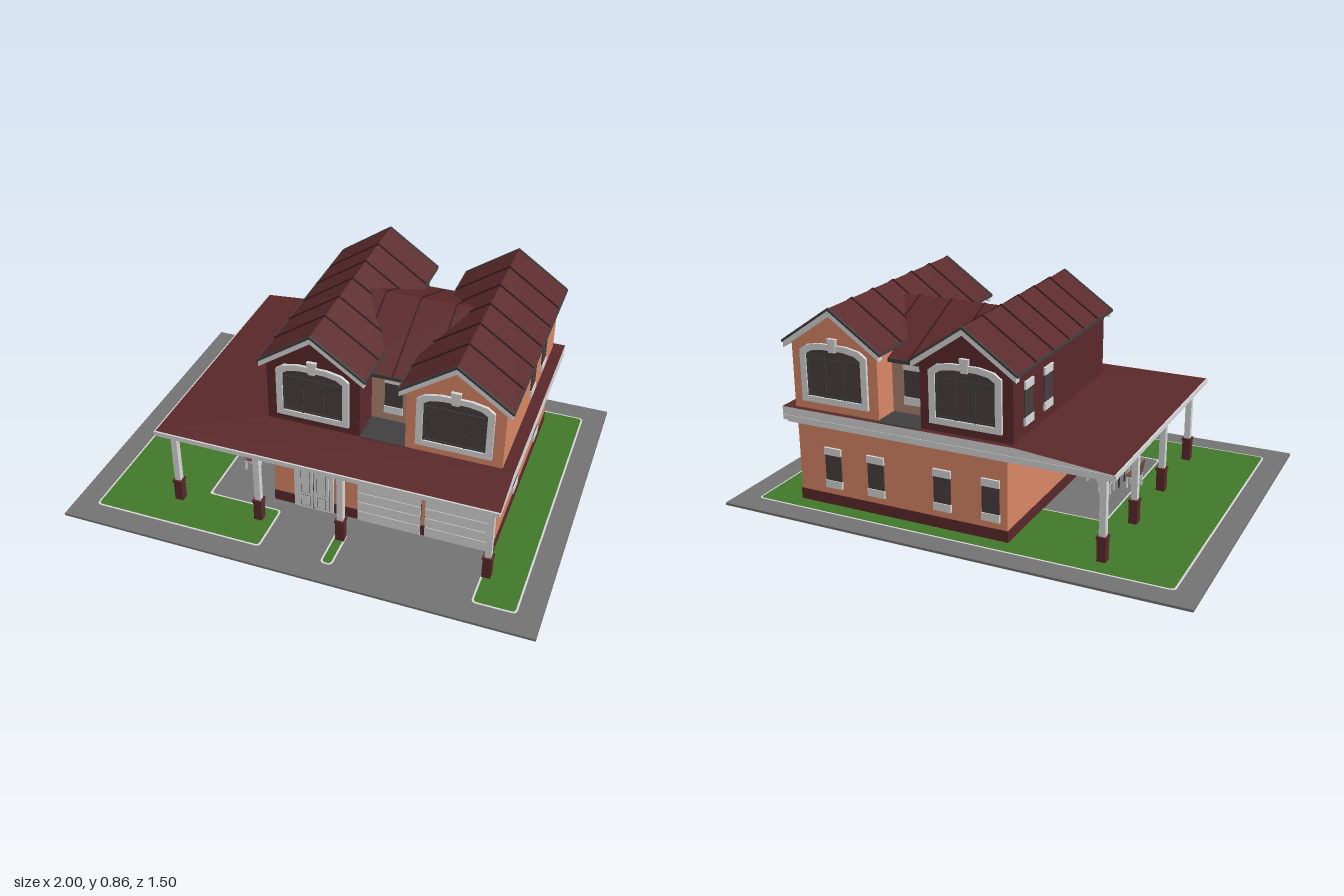
import * as THREE from 'three';

const paint = (name, color, side = THREE.FrontSide) => {
  const m = new THREE.MeshStandardMaterial({ color, side });
  m.name = name;
  return m;
};
const M = {
  wall: paint('terracotta wall', 0xd78665),
  tan: paint('tan wall', 0xab8270),
  maroon: paint('maroon', 0x5a282a, THREE.DoubleSide),
  seam: paint('roof seam', 0x361a1b),
  trim: paint('light trim', 0xd6d6d6, THREE.DoubleSide),
  dark: paint('dark edging', 0x403e3e),
  glass: paint('window glass', 0x473e3e),
  paving: paint('paving', 0x737373),
  grass: paint('grass', 0x417829),
  wood: paint('brown wood', 0x6e4c3e),
};

function add(parent, name, geo, mat, x = 0, y = 0, z = 0) {
  const mesh = new THREE.Mesh(geo, mat);
  mesh.name = name;
  mesh.position.set(x, y, z);
  parent.add(mesh);
  return mesh;
}
// Box given by its minimum and maximum on each axis
function block(parent, name, mat, x0, x1, y0, y1, z0, z1) {
  return add(parent, name, new THREE.BoxGeometry(x1 - x0, y1 - y0, z1 - z0), mat,
    (x0 + x1) / 2, (y0 + y1) / 2, (z0 + z1) / 2);
}
function group(parent, name, x = 0, y = 0, z = 0, turn = 0) {
  const g = new THREE.Group();
  g.name = name;
  g.position.set(x, y, z);
  g.rotation.y = turn;
  parent.add(g);
  return g;
}
const shapeOf = pts => new THREE.Shape(pts.map(p => new THREE.Vector2(...p)));
// Extrude an x-y outline from z0 to z1
const extrude = (shape, z0, z1) =>
  new THREE.ExtrudeGeometry(shape, { depth: z1 - z0, bevelEnabled: false, curveSegments: 6 }).translate(0, 0, z0);
// Inverted V band whose top ridge is at y
const chevron = (half, y, thick, slope) => shapeOf([
  [-half, y - half * slope], [-half, y - half * slope - thick], [0, y - thick],
  [half, y - half * slope - thick], [half, y - half * slope], [0, y]]);
// Flat quads from corner lists
function quads(list) {
  const g = new THREE.BufferGeometry();
  const pos = list.flatMap(([a, b, c, d]) => [a, b, c, a, c, d].flat());
  g.setAttribute('position', new THREE.Float32BufferAttribute(pos, 3));
  g.computeVertexNormals();
  return g;
}
// Square-cornered outline moved inwards by t, with corners rounded to radius r
function roundedOutline(pts, t, r) {
  const s = new THREE.Shape();
  const v = pts.map(p => new THREE.Vector2(...p));
  v.forEach((p, i) => {
    const d1 = p.clone().sub(v.at(i - 1)).normalize();
    const d2 = v[(i + 1) % v.length].clone().sub(p).normalize();
    const c = p.clone().add(new THREE.Vector2(-d1.y - d2.y, d1.x + d2.x).multiplyScalar(t));
    const a = c.clone().addScaledVector(d1, -r), b = c.clone().addScaledVector(d2, r);
    if (i) s.lineTo(a.x, a.y);
    else s.moveTo(a.x, a.y);
    s.quadraticCurveTo(c.x, c.y, b.x, b.y);
  });
  s.closePath();
  return s;
}

function smallWindow(parent, x, y, z, turn) {
  const w = group(parent, 'smallWindow', x, y, z, turn);
  block(w, 'glass', M.glass, -0.037, 0.037, -0.056, 0.058, -0.003, 0.004);
  block(w, 'lintel', M.trim, -0.039, 0.039, 0.057, 0.088, -0.004, 0.008);
  block(w, 'sill', M.trim, -0.039, 0.039, -0.088, -0.055, -0.004, 0.008);
}

// Low-arched three-light window with keystone; origin at its bottom centre
function archWindow(parent, z, turn) {
  const w = group(parent, 'archWindow', 0, 0.457, z, turn);
  const outline = (half, bottom, side, crown) => [[-half, bottom], [half, bottom], [half, side],
    [half * 0.8, side + (crown - side) * 0.65], [half * 0.4, crown], [-half * 0.4, crown],
    [-half * 0.8, side + (crown - side) * 0.65], [-half, side]];
  const frame = shapeOf(outline(0.153, 0, 0.215, 0.25));
  frame.holes.push(shapeOf(outline(0.126, 0.025, 0.2, 0.226)));
  add(w, 'frame', extrude(frame, -0.005, 0.011), M.trim);
  add(w, 'pane', extrude(shapeOf(outline(0.128, 0.02, 0.201, 0.228)), -0.005, 0.003), M.glass);
  add(w, 'keystone', extrude(shapeOf([[-0.014, 0.22], [0.014, 0.22], [0.02, 0.276], [-0.02, 0.276]]), 0, 0.014), M.trim);
  for (const x of [-0.122, -0.042, 0.042, 0.122])
    block(w, 'mullion', M.dark, x - 0.003, x + 0.003, 0.025, 0.2, 0, 0.007);
  for (const y of [0.03, 0.185]) block(w, 'rail', M.dark, -0.125, 0.125, y - 0.003, y + 0.003, 0, 0.007);
}

// Upper wing: gabled body, seamed roof, verge boards and windows front and back
function wing(parent, name, x, wallMat) {
  const w = group(parent, name, x);
  const slope = 0.69;
  add(w, 'gableWalls', extrude(shapeOf([[-0.196, 0.41], [0.196, 0.41], [0.196, 0.71], [0, 0.845], [-0.196, 0.71]]),
    -0.58, 0.33), wallMat);
  add(w, 'gableRoof', extrude(chevron(0.222, 0.859, 0.014, slope), -0.6, 0.35), M.maroon);
  for (const z of [0.347, -0.608]) add(w, 'roofEdge', extrude(chevron(0.225, 0.862, 0.011, slope), z, z + 0.011), M.dark);
  for (const z of [0.328, -0.605]) add(w, 'vergeBoard', extrude(chevron(0.22, 0.851, 0.024, slope), z, z + 0.027), M.trim);
  for (const z of [0.19, 0.035, -0.12, -0.276, -0.435])
    add(w, 'roofSeam', extrude(chevron(0.223, 0.864, 0.008, slope), z - 0.004, z + 0.004), M.seam);
  for (const s of [-1, 1]) block(w, 'gutter', M.dark, s * 0.224 - 0.003, s * 0.224 + 0.003, 0.695, 0.706, -0.605, 0.355);
  archWindow(w, 0.331, 0);
  archWindow(w, -0.581, Math.PI);
}

function column(parent, x, z) {
  const c = group(parent, 'porchColumn', x, 0, z);
  block(c, 'columnBase', M.maroon, -0.018, 0.018, 0.01, 0.108, -0.018, 0.018);
  block(c, 'columnBaseCap', M.maroon, -0.021, 0.021, 0.104, 0.115, -0.021, 0.021);
  block(c, 'columnShaft', M.trim, -0.013, 0.013, 0.115, 0.362, -0.013, 0.013);
  block(c, 'columnCapital', M.trim, -0.017, 0.017, 0.346, 0.362, -0.017, 0.017);
}

function chair(parent, x, z, turn) {
  const c = group(parent, 'chair', x, 0.01, z, turn);
  block(c, 'seat', M.wood, -0.028, 0.028, 0.055, 0.06, -0.028, 0.028);
  block(c, 'seatFrame', M.trim, -0.028, 0.028, 0.048, 0.055, -0.028, 0.028);
  block(c, 'backrest', M.wood, -0.028, 0.028, 0.068, 0.125, -0.034, -0.029).rotation.x = -0.15;
  for (const sx of [-1, 1]) for (const sz of [-1, 1])
    block(c, 'chairLeg', M.trim, sx * 0.024 - 0.004, sx * 0.024 + 0.004, 0, sz < 0 ? 0.075 : 0.052, sz * 0.024 - 0.004, sz * 0.024 + 0.004);
}

export function createModel() {
  const model = new THREE.Group();
  model.name = 'house';

  // Plot, lawns and kerbs
  const site = group(model, 'site');
  block(site, 'pavedPlot', M.paving, -1, 1, 0, 0.01, -0.75, 0.75);
  const lawns = [
    [[-0.904, -0.654], [0.904, -0.654], [0.904, 0.652], [0.724, 0.652], [0.724, -0.25], [-0.48, -0.25],
      [-0.48, 0.42], [-0.156, 0.42], [-0.156, 0.652], [-0.904, 0.652]],
    [[0.104, 0.46], [0.156, 0.46], [0.156, 0.652], [0.104, 0.652]]];
  for (const pts of lawns) {
    const sheet = (inset, r) => extrude(roundedOutline(pts, inset, r), 0, 0.003).rotateX(Math.PI / 2);
    add(site, 'kerb', sheet(0, 0.022), M.trim, 0, 0.0115, 0);
    add(site, 'lawn', sheet(0.008, 0.016), M.grass, 0, 0.0125, 0);
  }

  // Ground floor with plinth
  const ground = group(model, 'groundFloor');
  block(ground, 'groundWalls', M.wall, -0.21, 0.733, 0.01, 0.365, -0.578, 0.355);
  block(ground, 'plinth', M.maroon, -0.213, 0.736, 0.01, 0.06, -0.581, 0.358);

  // Double front door
  const door = group(ground, 'frontDoor', -0.033, 0.01, 0.357);
  block(door, 'doorFrame', M.trim, -0.087, 0.087, 0, 0.28, -0.01, 0.006);
  block(door, 'doorGap', M.dark, -0.069, 0.069, 0.002, 0.238, 0, 0.007);
  for (const s of [-1, 1]) {
    block(door, 'doorLeaf', M.trim, s * 0.035 - 0.033, s * 0.035 + 0.033, 0.002, 0.236, 0, 0.01);
    for (const [a, b] of [[0.015, 0.07], [0.085, 0.225]]) {
      block(door, 'panelGroove', M.dark, s * 0.035 - 0.02, s * 0.035 + 0.02, a, b, 0.008, 0.0105);
      block(door, 'doorPanel', M.trim, s * 0.035 - 0.018, s * 0.035 + 0.018, a + 0.002, b - 0.002, 0.008, 0.012);
    }
  }

  // Sectional garage doors
  for (const x of [0.295, 0.583]) {
    const garage = group(ground, 'garageDoor', x, 0.01, 0.357);
    block(garage, 'garageDoorBack', M.dark, -0.136, 0.136, 0, 0.252, -0.01, 0.003);
    for (let i = 0; i < 5; i++)
      block(garage, 'garagePanel', M.trim, -0.135, 0.135, i * 0.05 + 0.001, i * 0.05 + 0.0485, 0, 0.006);
  }

  // Small windows on the sides and back
  for (const z of [0.035, -0.338]) smallWindow(model, 0.735, 0.178, z, Math.PI / 2);
  for (const z of [-0.138, -0.338]) smallWindow(model, 0.737, 0.553, z, Math.PI / 2);
  for (const z of [-0.27, -0.45]) smallWindow(model, -0.237, 0.553, z, -Math.PI / 2);
  for (const x of [0.57, 0.37, 0.07, -0.14]) smallWindow(model, x, 0.178, -0.58, Math.PI);

  // Porch roof: eaves slab, sloped covering and closed ends
  const porch = group(model, 'porchRoof');
  block(porch, 'eaves', M.trim, -0.651, 0.785, 0.366, 0.386, -0.605, 0.546);
  block(porch, 'eavesLip', M.trim, -0.635, 0.77, 0.355, 0.368, -0.595, 0.53);
  const E = [[-0.645, 0.387, -0.605], [-0.645, 0.387, 0.54], [0.785, 0.387, 0.54], [0.785, 0.387, -0.605]];
  const T = [[-0.25, 0.422, -0.605], [-0.25, 0.422, 0.345], [0.785, 0.422, 0.345], [0.785, 0.422, -0.605]];
  add(porch, 'porchCovering', quads([[E[0], E[1], T[1], T[0]], [E[1], E[2], T[2], T[1]], T]), M.maroon);
  add(porch, 'porchRoofEnds', quads([[E[2], E[3], T[3], T[2]], [E[3], E[0], T[0], T[3]]]), M.trim);
  block(porch, 'balconyFloor', M.dark, 0.156, 0.344, 0.418, 0.425, -0.6, 0.335);
  for (const x of [-0.59, -0.225, 0.135, 0.745]) column(porch, x, 0.49);
  for (const z of [0.13, -0.21, -0.555]) column(porch, -0.59, z);

  // Upper floor: two gabled wings and a link with a cross roof
  wing(model, 'rightWing', -0.04, M.maroon);
  wing(model, 'leftWing', 0.54, M.wall);
  const link = group(model, 'link');
  block(link, 'linkWalls', M.tan, 0.15, 0.35, 0.41, 0.665, -0.47, 0.19);
  smallWindow(link, 0.25, 0.553, 0.192, 0);
  smallWindow(link, 0.25, 0.553, -0.472, Math.PI);
  // Cross roof profile runs along z, extruded along x
  const across = (half, top, thick, x0, x1) => extrude(chevron(half, top, thick, 0.44), x0, x1).rotateY(Math.PI / 2);
  add(link, 'crossRoof', across(0.36, 0.815, 0.016, 0.03, 0.47), M.maroon, 0, 0, -0.14);
  for (const x of [0.1, 0.25, 0.4])
    add(link, 'crossSeam', across(0.361, 0.818, 0.007, x - 0.003, x + 0.003), M.seam, 0, 0, -0.14);
  for (const z of [0.22, -0.5]) block(link, 'linkGutter', M.dark, 0.165, 0.335, 0.645, 0.658, z - 0.003, z + 0.003);

  // Patio table and chairs
  const patio = group(model, 'patioSet', -0.385, 0, 0.11);
  add(patio, 'tableTop', new THREE.CylinderGeometry(0.06, 0.06, 0.008, 20), M.tan, 0, 0.09, 0);
  for (const sx of [-1, 1]) for (const sz of [-1, 1])
    block(patio, 'tableLeg', M.dark, sx * 0.035 - 0.003, sx * 0.035 + 0.003, 0.01, 0.088, sz * 0.035 - 0.003, sz * 0.035 + 0.003);
  for (let i = 0; i < 4; i++) {
    const a = i * Math.PI / 2;
    chair(patio, 0.09 * Math.sin(a), 0.09 * Math.cos(a), a + Math.PI);
  }
  return model;
}
